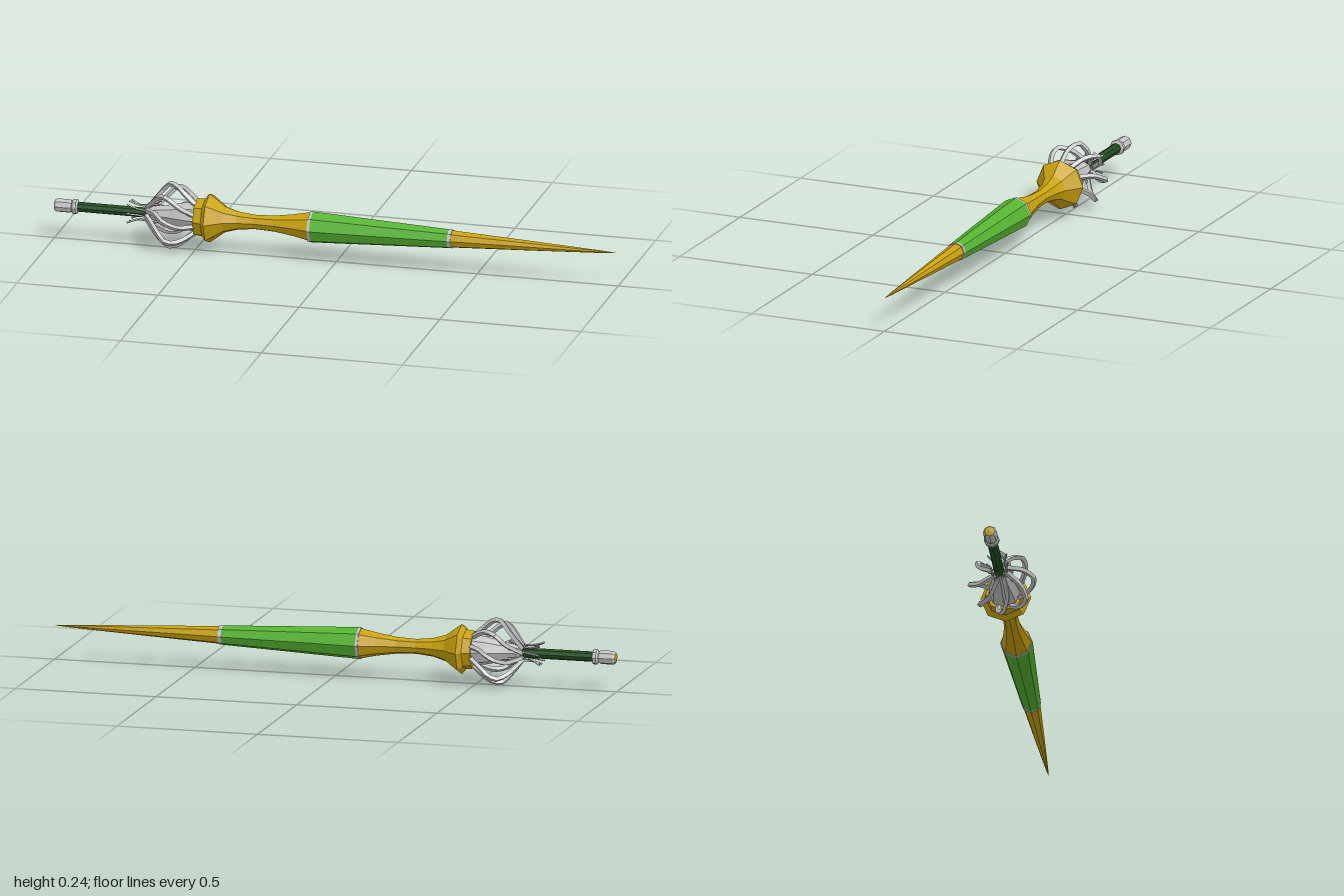
import * as THREE from 'three';

const AXIS_Y = 0.12;

function material(name, color) {
  const m = new THREE.MeshStandardMaterial({ color, flatShading: true, side: THREE.DoubleSide });
  m.name = name;
  return m;
}

// Eight-sided turned part along x, from [x, radius] pairs
function turned(name, profile, mat) {
  const points = profile.map(([x, r]) => new THREE.Vector2(r, x));
  const geometry = new THREE.LatheGeometry(points, 8);
  geometry.rotateZ(-Math.PI / 2);
  const mesh = new THREE.Mesh(geometry, mat);
  mesh.name = name;
  return mesh;
}

// Bar through [x, radius, degrees around the axis] stations
function bar(name, stations, thickness, mat) {
  const points = stations.map(([x, r, deg]) => {
    const a = THREE.MathUtils.degToRad(deg);
    return new THREE.Vector3(x, r * Math.cos(a), -r * Math.sin(a));
  });
  const curve = new THREE.CatmullRomCurve3(points, false, 'catmullrom', 0.15);
  const mesh = new THREE.Mesh(new THREE.TubeGeometry(curve, 12, thickness, 4), mat);
  mesh.name = name;
  return mesh;
}

export function createModel() {
  const gold = material('gold', 0xc9a20c);
  const green = material('leaf green', 0x56b432);
  const darkGreen = material('dark green', 0x21501f);
  const silver = material('silver', 0xc4c4c6);

  const lance = new THREE.Group();
  lance.name = 'lance';
  lance.position.y = AXIS_Y;

  // Handle
  lance.add(
    turned('pommel', [[-0.998, 0.018], [-0.99, 0.024], [-0.945, 0.024], [-0.938, 0.019],
      [-0.932, 0.027], [-0.92, 0.027], [-0.915, 0.018]], silver),
    turned('pommelCap', [[-1, 0], [-0.998, 0.018]], gold),
    turned('grip', [[-0.917, 0.018], [-0.64, 0.018]], darkGreen),
    turned('guardCore', [[-0.665, 0.018], [-0.65, 0.026], [-0.6, 0.034], [-0.54, 0.048], [-0.49, 0.055]], silver),
  );

  // Twisted basket guard and the thin thorns behind it
  for (let i = 0; i < 8; i++) {
    const a = i * 45;
    lance.add(
      bar('guardRib', [[-0.495, 0.055, a - 22], [-0.535, 0.088, a - 12], [-0.565, 0.109, a - 2],
        [-0.595, 0.109, a + 6], [-0.625, 0.078, a + 18], [-0.67, 0.022, a + 40]], 0.0095, silver),
      bar('guardThorn', [[-0.625, 0.045, a + 20], [-0.665, 0.028, a + 30],
        [-0.7, 0.027, a + 40], [-0.735, i % 2 ? 0.036 : 0.046, a + 48]], 0.0035, silver),
    );
  }

  // Bell, waist, blade and point
  lance.add(
    turned('bell', [[-0.495, 0], [-0.495, 0.066], [-0.465, 0.07], [-0.45, 0.088], [-0.425, 0.07],
      [-0.395, 0.047], [-0.35, 0.033], [-0.29, 0.026], [-0.22, 0.029], [-0.15, 0.04], [-0.09, 0.053]], gold),
    turned('rearBand', [[-0.092, 0.05], [-0.092, 0.056], [-0.083, 0.056], [-0.083, 0.05]], silver),
    turned('blade', [[-0.083, 0.05], [-0.083, 0.056], [0.4, 0.034], [0.4, 0.028]], green),
    turned('frontBand', [[0.4, 0.028], [0.4, 0.034], [0.412, 0.034], [0.412, 0.028]], silver),
    turned('point', [[0.412, 0.031], [0.7, 0.017], [0.95, 0.004], [1, 0]], gold),
  );

  const model = new THREE.Group();
  model.add(lance);
  return model;
}
